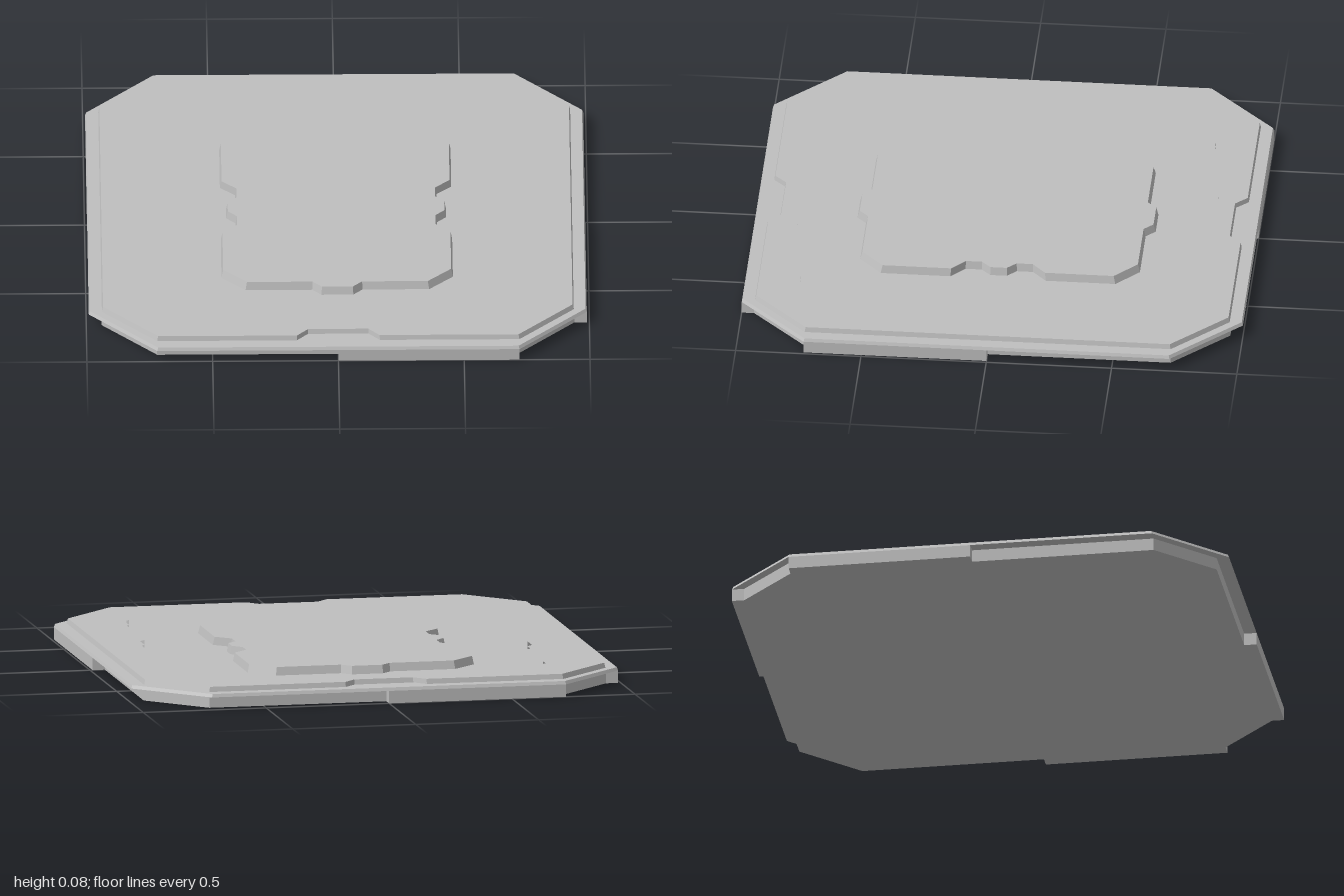
import * as THREE from 'three';

const stone = new THREE.MeshStandardMaterial({ color: 0xbfbfbf });
stone.name = 'stone grey';

// Mirror a quarter outline (running from the +z axis to the +x axis) into a closed loop
function mirrorLoop(quarter) {
  const half = [...quarter, ...quarter.map(([x, z]) => [x, -z]).reverse()];
  const all = [...half, ...half.map(([x, z]) => [-x, z]).reverse()];
  return all.map(([x, z]) => new THREE.Vector2(x, z));
}

// Slab between two heights; taper(x, z) scales the corners on its top or bottom face
function slab(name, outline, y0, y1, { hole, topTaper, bottomTaper } = {}) {
  const shape = new THREE.Shape(outline);
  if (hole) shape.holes.push(new THREE.Path(hole));
  const geo = new THREE.ExtrudeGeometry(shape, { depth: y1 - y0, bevelEnabled: false });
  geo.rotateX(-Math.PI / 2).translate(0, y0, 0);
  const p = geo.attributes.position;
  const middle = (y0 + y1) / 2;
  for (let i = 0; i < p.count; i++) {
    const taper = p.getY(i) > middle ? topTaper : bottomTaper;
    if (!taper) continue;
    const s = taper(p.getX(i), p.getZ(i));
    p.setX(i, p.getX(i) * s);
    p.setZ(i, p.getZ(i) * s);
  }
  geo.computeVertexNormals();
  const mesh = new THREE.Mesh(geo, stone);
  mesh.name = name;
  return mesh;
}

export function createModel() {
  const model = new THREE.Group();
  model.name = 'floorTile';

  const coreLoop = mirrorLoop([[0.72, 0.95], [0.94, 0.73]]);
  const lipLoop = mirrorLoop([[0.72, 1], [0.99, 0.73]]);
  const plateLoop = mirrorLoop([[0.12, 0.9], [0.165, 0.947], [0.72, 0.947], [0.938, 0.73]]);
  const moatLoop = mirrorLoop([
    [0.12, 0.865], [0.16, 0.823], [0.51, 0.823], [0.553, 0.78], [0.61, 0.78], [0.703, 0.69],
    [0.703, 0.64], [0.74, 0.603], [0.74, 0.175], [0.793, 0.125],
  ]);
  const islandLoop = mirrorLoop([
    [0.063, 0.595], [0.1, 0.558], [0.365, 0.558], [0.46, 0.468], [0.46, 0.19],
    [0.4, 0.135], [0.4, 0.07], [0.437, 0.033],
  ]);

  // Only the outer rim is eased, the moat walls stay upright
  const easeRim = (x, z) => (Math.abs(x) > 0.85 || Math.abs(z) > 0.88 ? 0.995 : 1);

  // Core, whose top is the floor of the moat
  model.add(slab('core', coreLoop, 0, 0.05));
  // Overhanging lip and the top plate, both open over the moat
  model.add(slab('lip', lipLoop, 0.05, 0.063, { hole: moatLoop, topTaper: easeRim }));
  model.add(slab('topPlate', plateLoop, 0.063, 0.083, { hole: moatLoop, topTaper: easeRim }));
  // Raised centre with sloping sides
  model.add(slab('centreIsland', islandLoop, 0.05, 0.083, { topTaper: () => 0.985 }));

  // Interlocking tabs on half of every side
  for (const s of [1, -1]) {
    const front = new THREE.Mesh(new THREE.BoxGeometry(0.72, 0.05, 0.05), stone);
    front.position.set(s * 0.36, 0.025, s * 0.975);
    front.name = s > 0 ? 'frontTab' : 'backTab';
    const side = new THREE.Mesh(new THREE.BoxGeometry(0.05, 0.05, 0.73), stone);
    side.position.set(s * 0.965, 0.025, s * 0.365);
    side.name = s > 0 ? 'leftTab' : 'rightTab';
    model.add(front, side);
  }
  return model;
}
